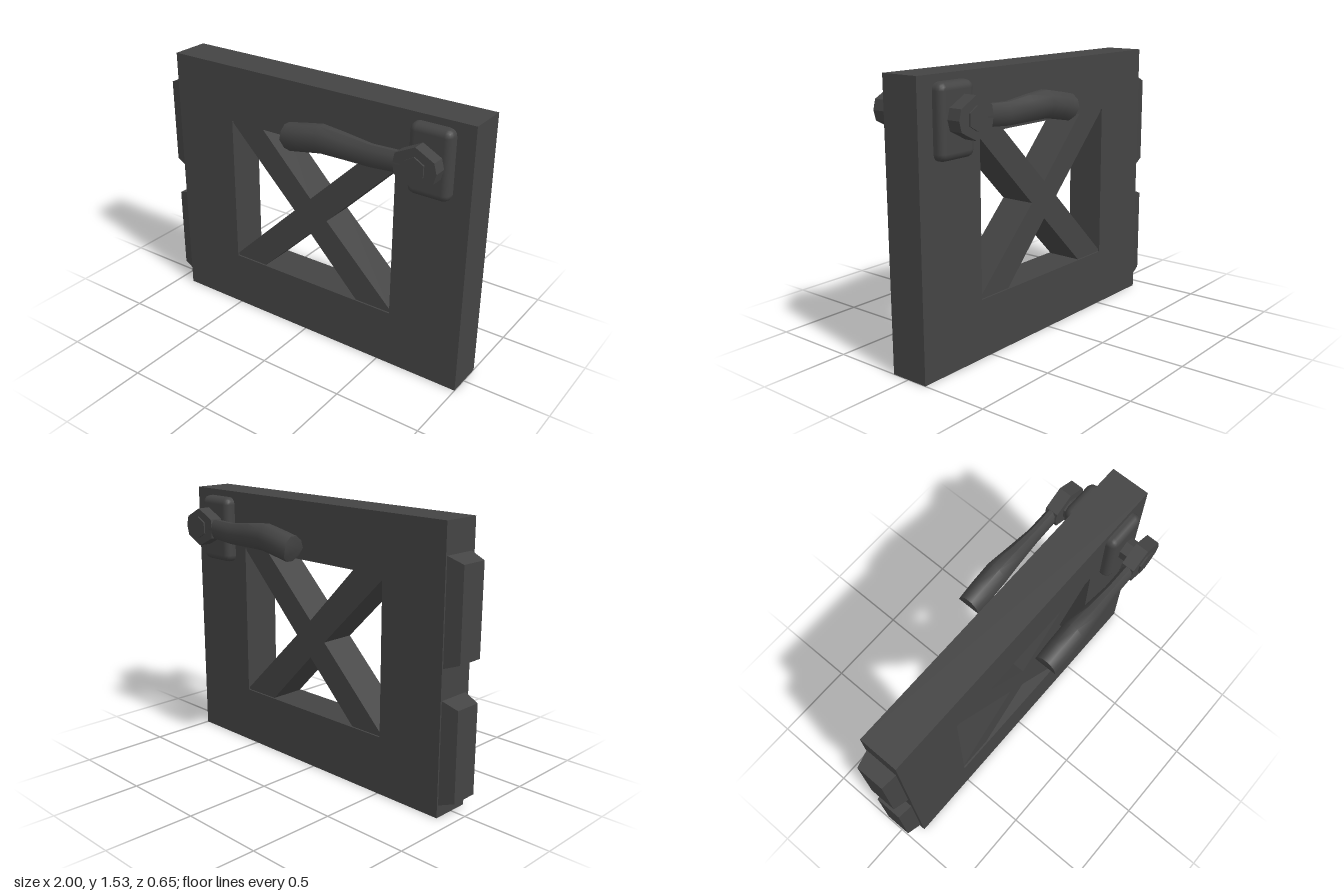
import * as THREE from 'three';
import { RoundedBoxGeometry } from 'three/addons/geometries/RoundedBoxGeometry.js';
import { toCreasedNormals } from 'three/addons/utils/BufferGeometryUtils.js';

const material = new THREE.MeshStandardMaterial({ color: 0x444444 });

function part(name, geometry, x = 0, y = 0, z = 0) {
  const mesh = new THREE.Mesh(geometry, material);
  mesh.name = name;
  mesh.position.set(x, y, z);
  return mesh;
}

const outline = (pts) => pts.map(([x, y]) => new THREE.Vector2(x, y));

// Extrudes a shape between two z planes
function slab(shape, z0, z1) {
  const g = new THREE.ExtrudeGeometry(shape, { depth: z1 - z0, bevelEnabled: false });
  return g.translate(0, 0, z0);
}

// Skins rings of points and closes both ends
function loft(rings) {
  const n = rings[0].length, pos = rings.flat(2), index = [];
  for (let r = 0; r < rings.length - 1; r++) {
    for (let i = 0; i < n; i++) {
      const a = r * n + i, b = r * n + (i + 1) % n;
      index.push(a, a + n, b, b, a + n, b + n);
    }
  }
  const last = (rings.length - 1) * n;
  for (let i = 1; i < n - 1; i++) {
    index.push(0, i, i + 1, last, last + i + 1, last + i);
  }
  const g = new THREE.BufferGeometry();
  g.setAttribute('position', new THREE.Float32BufferAttribute(pos, 3));
  g.setIndex(index);
  return g;
}

// Lever arm: sections given by top point, bottom point and half depth
function armGeometry() {
  const sections = [
    [0.0, 1.37, 0.035, 1.222, 0.066],
    [0.1, 1.39, 0.12, 1.238, 0.069],
    [0.22, 1.412, 0.23, 1.258, 0.068],
    [0.36, 1.4, 0.36, 1.258, 0.052],
    [0.52, 1.382, 0.52, 1.257, 0.036],
    [0.7, 1.388, 0.7, 1.272, 0.035],
  ];
  const sides = 10;
  const rings = sections.map(([xt, yt, xb, yb, rz]) =>
    Array.from({ length: sides }, (_, i) => {
      const a = (i / sides) * Math.PI * 2;
      const t = (1 - Math.sin(a)) / 2;
      const sag = Math.sin(a) < 0 ? 0 : 1;
      const x = xt + (xb - xt) * (sag ? 0 : Math.max(0, t * 2 - 1));
      return [x, yt + (yb - yt) * t, rz * Math.cos(a)];
    }));
  return toCreasedNormals(loft(rings), 0.7);
}

// One lever with its hub and spindle, on the +z or -z side
function makeLever(side) {
  const lever = new THREE.Group();
  lever.name = side > 0 ? 'frontLever' : 'backLever';
  const hub = new THREE.Shape(outline([
    [0.78, 1.44], [0.67, 1.385], [0.66, 1.33], [0.67, 1.275],
    [0.78, 1.222], [0.885, 1.275], [0.9, 1.33], [0.885, 1.385],
  ]));
  lever.add(part('leverHub', slab(hub, side * 0.254 - 0.037, side * 0.254 + 0.037)));
  lever.add(part('leverArm', armGeometry(), 0, 0, side * 0.257));
  const spindle = new THREE.CylinderGeometry(0.062, 0.062, 0.19, 6).toNonIndexed();
  spindle.computeVertexNormals();
  spindle.rotateX(Math.PI / 2);
  lever.add(part('spindle', spindle, 0.78, 1.33, side * 0.205));
  return lever;
}

// Hinge block tapering outwards from the panel edge
function hingeGeometry(height) {
  const ring = (x, h, z0, z1) => [[x, -h, z0], [x, -h, z1], [x, h, z1], [x, h, z0]];
  const g = loft([
    ring(-1, height / 2 - 0.037, -0.09, 0.07),
    ring(-0.9, height / 2, -0.108, 0.088),
  ]).toNonIndexed();
  g.computeVertexNormals();
  return g;
}

export function createModel() {
  const model = new THREE.Group();
  model.name = 'gate';

  // Panel with a window
  const frame = new THREE.Shape(outline([[-0.91, 0], [1, 0], [1, 1.535], [-0.91, 1.535]]));
  frame.holes.push(new THREE.Path(outline([
    [-0.51, 0.33], [-0.51, 1.21], [0.57, 1.21], [0.57, 0.33],
  ])));
  model.add(part('panel', slab(frame, -0.12, 0.105)));

  // Diagonal cross brace inside the window
  const cross = new THREE.Shape(outline([
    [-0.51, 0.33], [-0.3, 0.33], [0.03, 0.655], [0.345, 0.33], [0.57, 0.33], [0.57, 0.345],
    [0.14, 0.765], [0.57, 1.195], [0.57, 1.21], [0.38, 1.21], [0.03, 0.87], [-0.3, 1.21],
    [-0.51, 1.21], [-0.51, 1.195], [-0.08, 0.765], [-0.51, 0.345],
  ]));
  model.add(part('crossBrace', slab(cross, -0.11, 0.095)));

  // Hinge blocks on the right edge
  model.add(part('upperHinge', hingeGeometry(0.57), 0, 1.085, -0.005));
  model.add(part('lowerHinge', hingeGeometry(0.575), 0, 0.353, -0.005));

  // Lock body standing proud of both faces
  model.add(part('lockPlate', new RoundedBoxGeometry(0.24, 0.382, 0.342, 2, 0.04), 0.78, 1.307, -0.009));

  model.add(makeLever(1), makeLever(-1));
  return model;
}
